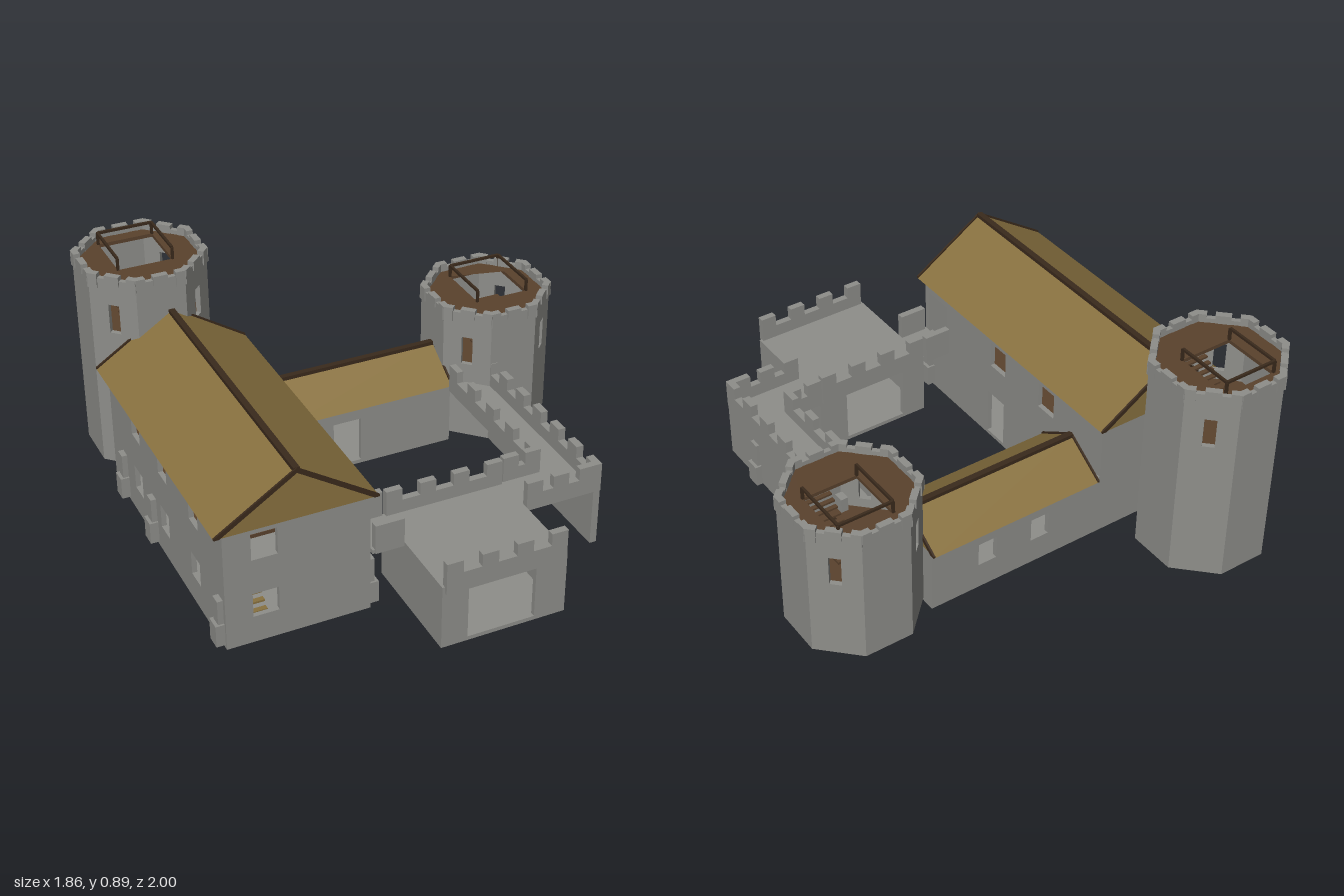
import * as THREE from 'three';

const mat = (name, color) => {
  const m = new THREE.MeshStandardMaterial({ color });
  m.name = name;
  return m;
};

export function createModel() {
  const stone = mat('stone', 0x8e8e8a);
  const thatch = mat('roof tan', 0x88713f);
  const wood = mat('deck brown', 0x5a422d);
  const dark = mat('dark timber', 0x3a2a1c);
  const model = new THREE.Group();
  model.name = 'castle';

  const group = (name, parent = model) => {
    const g = new THREE.Group();
    g.name = name;
    parent.add(g);
    return g;
  };
  const add = (parent, name, geo, m) => {
    const mesh = new THREE.Mesh(geo, m);
    mesh.name = name;
    parent.add(mesh);
    return mesh;
  };
  // Box given by its minimum and maximum corners
  const box = (p, name, m, x0, x1, y0, y1, z0, z1) => {
    const b = add(p, name, new THREE.BoxGeometry(x1 - x0, y1 - y0, z1 - z0), m);
    b.position.set((x0 + x1) / 2, (y0 + y1) / 2, (z0 + z1) / 2);
    return b;
  };
  const rect = (S, x, y, w, h) => {
    const s = new S();
    s.moveTo(x, y);
    s.lineTo(x + w, y);
    s.lineTo(x + w, y + h);
    s.lineTo(x, y + h);
    s.closePath();
    return s;
  };
  // Wall whose outer face points along angle ry; holes are [centre, bottom, width, height]
  const wall = (p, name, w, h, t, holes, x, y, z, ry) => {
    const s = rect(THREE.Shape, -w / 2, 0, w, h);
    holes.forEach(([c, b, hw, hh]) => s.holes.push(rect(THREE.Path, c - hw / 2, b, hw, hh)));
    const geo = new THREE.ExtrudeGeometry(s, { depth: t, bevelEnabled: false });
    geo.translate(0, 0, -t);
    const mesh = add(p, name, geo, stone);
    mesh.position.set(x, y, z);
    mesh.rotation.y = ry;
    return mesh;
  };
  // Gabled roof running along z, with dark verge boards and ridge
  const roof = (p, half, rise, length) => {
    const g = group('gabledRoof', p);
    const tri = new THREE.Shape([[-half, 0], [half, 0], [0, rise]].map(a => new THREE.Vector2(...a)));
    const body = new THREE.ExtrudeGeometry(tri, { depth: length, bevelEnabled: false });
    body.translate(0, 0, -length / 2);
    add(g, 'roofBody', body, thatch);
    const band = new THREE.Shape([[-half, 0], [-half + 0.02, 0], [0, rise - 0.012], [half - 0.02, 0],
      [half, 0], [half, 0.008], [0, rise + 0.008], [-half, 0.008]].map(a => new THREE.Vector2(...a)));
    for (const s of [-1, 1]) {
      const v = new THREE.ExtrudeGeometry(band, { depth: 0.008, bevelEnabled: false });
      add(g, 'vergeBoard', v, dark).position.z = s * (length / 2) - 0.004;
    }
    box(g, 'ridgeBeam', dark, -0.012, 0.012, rise - 0.012, rise + 0.008, -length / 2, length / 2);
    return g;
  };
  // Crenellated parapet between two corners, merlons along its longer side
  const parapet = (p, x0, x1, z0, z1, y0 = 0.25) => {
    const g = group('parapet', p);
    box(g, 'parapetWall', stone, x0, x1, y0, 0.32, z0, z1);
    const alongX = x1 - x0 > z1 - z0;
    const len = alongX ? x1 - x0 : z1 - z0;
    const n = Math.max(1, Math.round((len - 0.07) / 0.137));
    for (let i = 0; i <= n; i++) {
      const a = (alongX ? x0 : z0) + (len - 0.065) * i / n;
      if (alongX) box(g, 'merlon', stone, a, a + 0.065, 0.32, 0.37, z0, z1);
      else box(g, 'merlon', stone, x0, x1, 0.32, 0.37, a, a + 0.065);
    }
  };
  // Stepped buttress on a wall facing +x (dir 1) or -x (dir -1)
  const buttress = (p, x, z, dir) => {
    const g = group('buttress', p);
    [[0.035, 0.03, 0.105], [0.022, 0.022, 0.205]].forEach(([d, hw, h]) =>
      box(g, 'buttressStep', stone, Math.min(x, x + dir * d), Math.max(x, x + dir * d), 0.015, h, z - hw, z + hw));
  };
  const stairs = (p, m, x0, x1, zTop, zEnd, yTop, yEnd, n) => {
    const g = group('stairs', p);
    for (let i = 0; i < n; i++) {
      const y = yTop + (yEnd - yTop) * (i + 1) / (n + 1);
      const a = zTop + (zEnd - zTop) * i / n;
      const b = zTop + (zEnd - zTop) * (i + 0.85) / n;
      box(g, 'tread', m, x0, x1, y - 0.008, y, Math.min(a, b), Math.max(a, b));
    }
  };

  // Great hall
  const hall = group('greatHall');
  box(hall, 'hallBase', stone, -0.89, -0.33, 0, 0.015, -0.52, 0.67);
  wall(hall, 'hallFront', 0.56, 0.5, 0.02, [[-0.125, 0.1, 0.1, 0.1], [-0.125, 0.345, 0.1, 0.11]], -0.61, 0.012, 0.67, 0);
  wall(hall, 'hallBack', 0.56, 0.5, 0.02, [], -0.61, 0.012, -0.52, Math.PI);
  wall(hall, 'hallEast', 1.19, 0.5, 0.02, [
    [-0.505, 0.245, 0.14, 0.2], [-0.075, 0.345, 0.1, 0.11], [0.245, 0.345, 0.1, 0.11], [-0.085, 0.004, 0.11, 0.2],
  ], -0.33, 0.012, 0.075, Math.PI / 2);
  const westWindows = [];
  for (const z of [-0.3, -0.01, 0.31]) westWindows.push([z, 0.1, 0.09, 0.1], [z, 0.345, 0.09, 0.11]);
  wall(hall, 'hallWest', 1.19, 0.5, 0.02, westWindows, -0.89, 0.012, 0.075, -Math.PI / 2);
  box(hall, 'upperFloor', wood, -0.87, -0.35, 0.24, 0.255, -0.5, 0.4);
  stairs(hall, thatch, -0.84, -0.7, 0.4, 0.62, 0.25, 0.02, 9);
  for (const z of [-0.38, -0.05, 0.63]) buttress(hall, -0.89, z, -1);
  buttress(hall, -0.33, 0.635, 1);
  roof(hall, 0.31, 0.2, 1.24).position.set(-0.62, 0.507, 0.08);

  // Rear wing
  const wing = group('rearWing');
  box(wing, 'wingBase', stone, -0.33, 0.44, 0, 0.015, -0.52, -0.2);
  wall(wing, 'wingFront', 0.78, 0.26, 0.02, [[-0.07, 0.004, 0.12, 0.195]], 0.05, 0.012, -0.2, 0);
  wall(wing, 'wingBack', 0.78, 0.26, 0.02, [[0.1, 0.098, 0.08, 0.1], [-0.14, 0.098, 0.08, 0.1]], 0.05, 0.012, -0.52, Math.PI);
  wall(wing, 'wingEnd', 0.32, 0.26, 0.02, [], 0.44, 0.012, -0.36, Math.PI / 2);
  const wingRoof = roof(wing, 0.18, 0.115, 0.75);
  wingRoof.rotation.y = Math.PI / 2;
  wingRoof.position.set(0.065, 0.268, -0.36);

  // Gatehouse
  const gate = group('gatehouse');
  box(gate, 'gateFloor', stone, -0.205, 0.295, 0, 0.015, 0.5, 0.985);
  box(gate, 'gateRoof', stone, -0.205, 0.295, 0.25, 0.266, 0.5, 0.985);
  for (const [z, ry, c] of [[0.985, 0, -0.01], [0.5, Math.PI, 0.01]])
    wall(gate, 'gateArch', 0.5, 0.245, 0.02, [[c, 0.004, 0.27, 0.22]], 0.045, 0.012, z, ry);
  for (const s of [-1, 1])
    wall(gate, 'gateSide', 0.485, 0.245, 0.02, [], 0.045 + s * 0.25, 0.012, 0.7425, s * Math.PI / 2);
  parapet(gate, -0.195, 0.285, 0.97, 0.998, 0.24);
  parapet(gate, -0.195, 0.285, 0.49, 0.518, 0.24);

  // Curtain wall with raised walkway
  const curtain = group('curtainWall');
  box(curtain, 'eastWall', stone, 0.58, 0.608, 0.015, 0.265, -0.19, 0.69);
  box(curtain, 'eastWalkway', stone, 0.43, 0.6, 0.25, 0.266, -0.19, 0.685);
  box(curtain, 'frontWalkwayRight', stone, 0.295, 0.43, 0.25, 0.266, 0.5, 0.685);
  box(curtain, 'frontWalkwayLeft', stone, -0.33, -0.205, 0.25, 0.266, 0.5, 0.685);
  parapet(curtain, 0.58, 0.61, -0.18, 0.69);
  parapet(curtain, 0.425, 0.453, -0.18, 0.5);
  parapet(curtain, 0.295, 0.58, 0.662, 0.69);
  parapet(curtain, 0.295, 0.453, 0.48, 0.508);
  parapet(curtain, -0.32, -0.205, 0.662, 0.69);
  parapet(curtain, -0.32, -0.205, 0.48, 0.508);
  for (const z of [0.065, 0.47]) buttress(curtain, 0.6, z, 1);

  // Octagonal towers
  const octagon = (r) => {
    const s = new THREE.Shape();
    for (let i = 0; i < 8; i++) {
      const a = Math.PI / 8 + i * Math.PI / 4;
      s[i ? 'lineTo' : 'moveTo'](r * Math.cos(a), r * Math.sin(a));
    }
    s.closePath();
    return s;
  };
  const slab = (p, name, m, apothem, y, t, hole) => {
    const s = octagon(apothem / Math.cos(Math.PI / 8));
    // Shape y becomes -z once the slab is laid flat
    if (hole) s.holes.push(rect(THREE.Path, hole[0], -hole[3], hole[1] - hole[0], hole[3] - hole[2]));
    const geo = new THREE.ExtrudeGeometry(s, { depth: t, bevelEnabled: false });
    geo.rotateX(-Math.PI / 2);
    add(p, name, geo, m).position.y = y;
  };
  const tower = (name, x, z, top, shift) => {
    const g = group(name);
    g.position.set(x, 0, z);
    const ap = 0.242, side = 2 * ap * Math.tan(Math.PI / 8);
    const deck = top - 0.035, x0 = shift - 0.112, x1 = shift + 0.112, z0 = -0.17, z1 = 0.07;
    slab(g, 'towerBase', stone, ap, 0.015, 0.012);
    for (let i = 0; i < 8; i++) {
      const a = i * Math.PI / 4;
      const px = Math.sin(a), pz = Math.cos(a);
      const holes = i % 2 ? [[0, top - 0.265, 0.046, 0.123]] : [];
      wall(g, 'towerWall', side, top - 0.032, 0.02, holes, px * ap, 0.015, pz * ap, a);
      // Corner merlons meet at the edges, one more stands mid-face
      for (const [c, w, low] of [[-0.083, 0.042, 0.06], [0, 0.06, 0.04], [0.083, 0.042, 0.06]]) {
        const m = add(g, 'towerMerlon', new THREE.BoxGeometry(w, low, 0.027), stone);
        m.position.set(px * (ap - 0.008) + pz * c, top - low / 2, pz * (ap - 0.008) - px * c);
        m.rotation.y = a;
      }
    }
    slab(g, 'towerDeck', wood, 0.225, deck - 0.015, 0.015, [x0, x1, z0, z1]);
    slab(g, 'towerFloor', wood, 0.225, deck - 0.27, 0.015);
    // Two stair flights joined by a landing under the hatch
    stairs(g, wood, x0 + 0.115, x1 - 0.005, z1, -0.07, deck, deck - 0.13, 7);
    box(g, 'landing', wood, x0, x1, deck - 0.14, deck - 0.13, -0.16, -0.07);
    stairs(g, wood, x0 + 0.005, x0 + 0.105, -0.07, z1, deck - 0.13, deck - 0.255, 7);
    // Hatch railing on three sides
    const r = 0.005, y = top + 0.015;
    for (const rx of [x0, x1]) {
      box(g, 'rail', dark, rx - r, rx + r, y - 0.005, y + 0.005, z0, z1);
      for (const rz of [z0, z1]) box(g, 'railPost', dark, rx - r, rx + r, deck, y, rz - r, rz + r);
    }
    box(g, 'rail', dark, x0, x1, y - 0.005, y + 0.005, z0 - r, z0 + r);
    box(g, 'stringer', dark, shift - r, shift + r, deck - 0.14, deck - 0.13, -0.07, z1);
  };
  tower('tallTower', -0.657, -0.752, 0.87, 0);
  tower('shortTower', 0.678, -0.36, 0.6, 0.038);

  return model;
}
